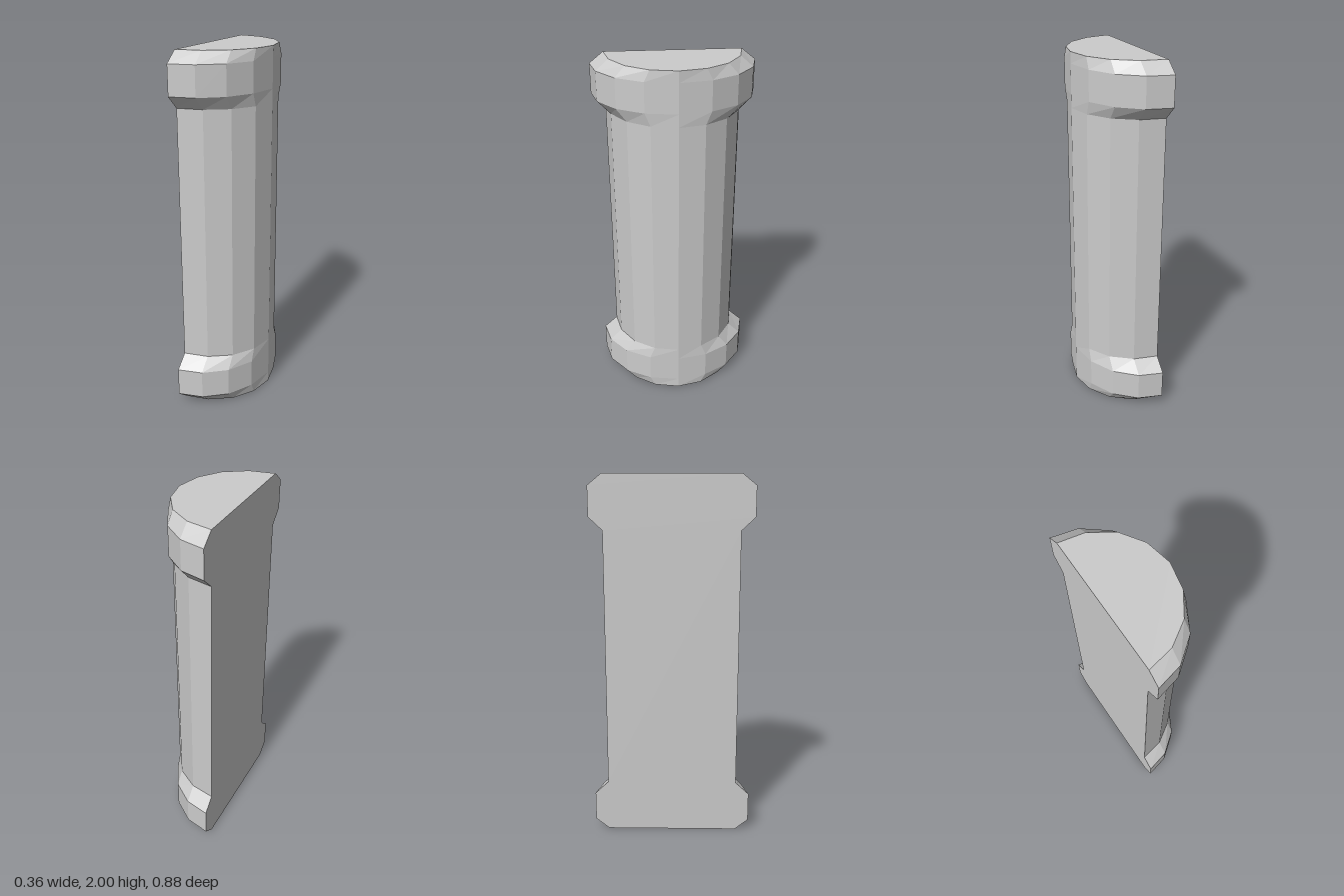
import * as THREE from 'three';

// Half of the D-shaped cross-section as [x, z], from the flat back to the front ridge
const half = [[-0.182, 0.438], [-0.045, 0.405], [0.075, 0.31], [0.153, 0.169]];
const outline = [...half, [0.182, 0], ...half.map(([x, z]) => [x, -z]).reverse()];
const NARROW = 0.83; // depth of the shaft relative to the collars

// Loft the outline through [y, depthScale] levels, optionally capping either end
function loft(name, levels, { capBottom = false, capTop = false } = {}) {
  const n = outline.length;
  const positions = [];
  const index = [];
  for (const [y, s] of levels) {
    for (const [x, z] of outline) positions.push(x, y, z * s);
  }
  for (let l = 0; l < levels.length - 1; l++) {
    for (let i = 0; i < n; i++) {
      const j = (i + 1) % n;
      const a = l * n + i, b = l * n + j;
      index.push(a, b, b + n, a, b + n, a + n);
    }
  }
  const top = (levels.length - 1) * n;
  for (let i = 1; i < n - 1; i++) {
    if (capBottom) index.push(0, i + 1, i);
    if (capTop) index.push(top, top + i, top + i + 1);
  }
  const indexed = new THREE.BufferGeometry();
  indexed.setAttribute('position', new THREE.Float32BufferAttribute(positions, 3));
  indexed.setIndex(index);
  const geometry = indexed.toNonIndexed();
  geometry.computeVertexNormals();
  const material = new THREE.MeshStandardMaterial({ color: 0xcccccc, flatShading: true });
  const mesh = new THREE.Mesh(geometry, material);
  mesh.name = name;
  return mesh;
}

export function createModel() {
  const group = new THREE.Group();
  group.name = 'halfColumn';

  // Bevelled collar levels, from the outer end towards the shaft
  const collar = [[0, NARROW], [0.06, 1], [0.22, 1], [0.29, NARROW]];
  const mirrored = collar.map(([y, s]) => [2 - y, s]).reverse();

  group.add(
    loft('bottomCollar', collar, { capBottom: true }),
    loft('shaft', [[0.29, NARROW], [1.71, NARROW]]),
    loft('topCollar', mirrored, { capTop: true }),
  );
  return group;
}
